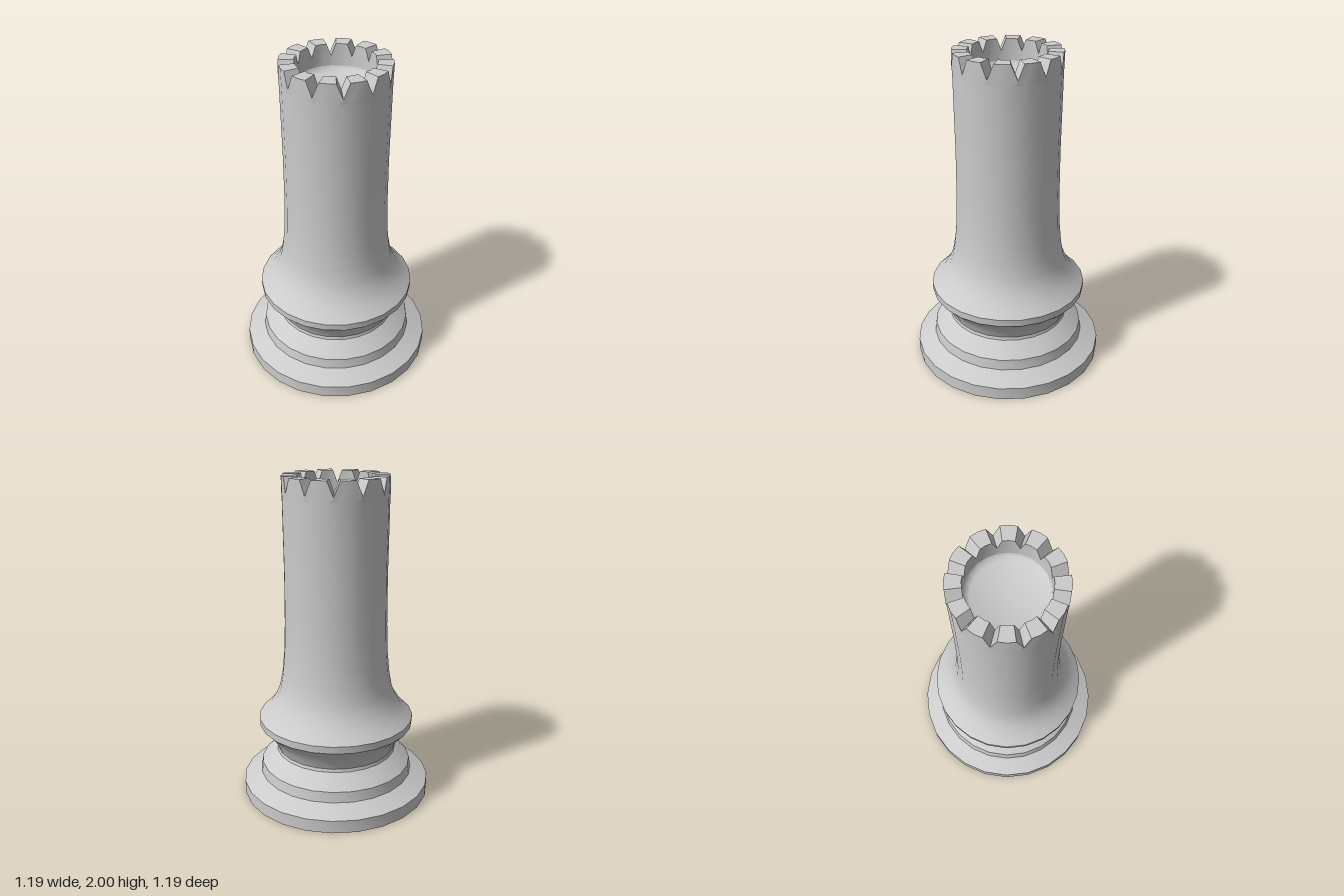
import * as THREE from 'three';
import { toCreasedNormals } from 'three/addons/utils/BufferGeometryUtils.js';

const SIDES = 24;
const material = new THREE.MeshStandardMaterial({ color: 0xcccccc, side: THREE.DoubleSide });

function addPart(group, name, geometry, crease) {
  const mesh = new THREE.Mesh(toCreasedNormals(geometry, crease), material);
  mesh.name = name;
  group.add(mesh);
}

function lathe(profile) {
  return new THREE.LatheGeometry(profile.map(([r, y]) => new THREE.Vector2(r, y)), SIDES);
}

// Ring of twelve teeth parted by V notches, swept from cross-sections
function crownGeometry() {
  const angles = [];
  for (let n = 0; n < 12; n++) for (const d of [0, 6.7, 15, 23.3]) angles.push(n * 30 + d);
  const positions = [], indices = [];
  const count = angles.length;
  for (const deg of angles) {
    const a = THREE.MathUtils.degToRad(deg);
    // Keep points on the flat sides of the 24-sided column
    const flat = Math.cos(Math.PI / SIDES) / Math.cos(THREE.MathUtils.degToRad(deg % 15 - 7.5));
    const notch = deg % 30 === 0;
    const section = [[0.316, 1.88], [0.319, notch ? 1.91 : 2], [0.23, notch ? 1.93 : 2], [0.23, 1.87]];
    for (const [r, y] of section) positions.push(r * flat * Math.sin(a), y, r * flat * Math.cos(a));
  }
  for (let i = 0; i < count; i++) {
    const p = i * 4, q = ((i + 1) % count) * 4;
    for (let j = 0; j < 3; j++) {
      indices.push(p + j, q + j, q + j + 1, p + j, q + j + 1, p + j + 1);
    }
  }
  const geometry = new THREE.BufferGeometry();
  geometry.setAttribute('position', new THREE.Float32BufferAttribute(positions, 3));
  geometry.setIndex(indices);
  return geometry;
}

export function createModel() {
  const group = new THREE.Group();
  group.name = 'rook';

  // Stepped foot, open underneath
  addPart(group, 'base', lathe([
    [0.595, 0], [0.595, 0.08], [0.485, 0.135], [0.475, 0.2],
    [0.43, 0.24], [0.38, 0.28],
  ]), 0.6);

  // Waist flaring out to the collar
  addPart(group, 'collar', lathe([
    [0.38, 0.28], [0.375, 0.3], [0.395, 0.35], [0.43, 0.405],
    [0.485, 0.46], [0.487, 0.505],
  ]), 0.6);

  // Column tapering up from the collar
  addPart(group, 'column', lathe([
    [0.487, 0.505], [0.45, 0.54], [0.413, 0.58], [0.375, 0.64], [0.352, 0.7],
    [0.335, 0.79], [0.322, 0.92], [0.315, 1.1], [0.312, 1.4], [0.316, 1.88],
  ]), 0.6);

  addPart(group, 'battlements', crownGeometry(), 0.5);

  // Recessed floor with a softened edge
  addPart(group, 'topFloor', lathe([
    [0.23, 1.87], [0.222, 1.852], [0.2, 1.84], [0, 1.835],
  ]), 1.2);

  return group;
}
